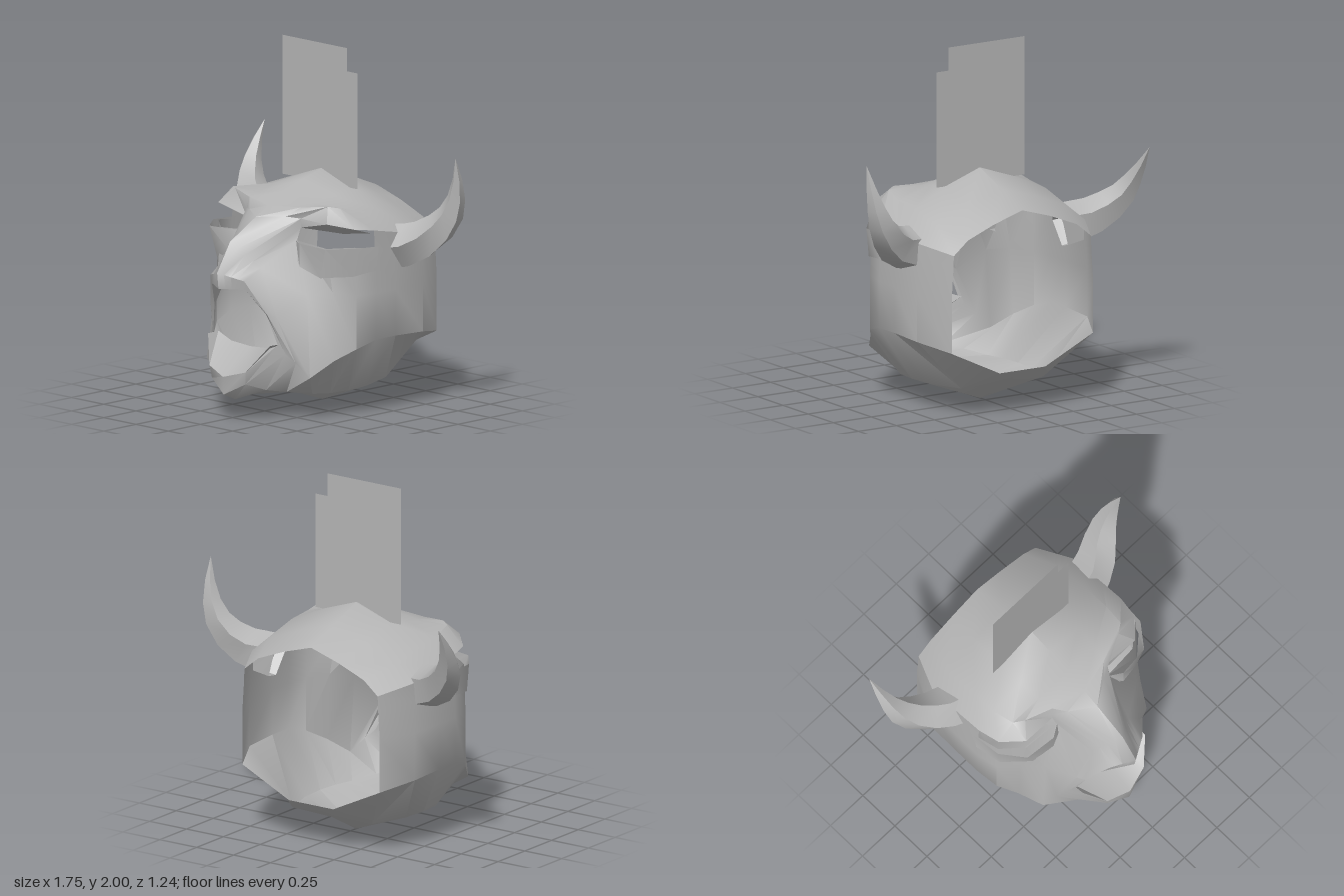
import * as THREE from 'three';
import { toCreasedNormals } from 'three/addons/utils/BufferGeometryUtils.js';

const grey = new THREE.MeshStandardMaterial({ color: 0xb4b4b4, side: THREE.DoubleSide });
grey.name = 'plainGrey';

// Skins a list of cross-sections; skip(row, column) leaves a hole
function loft(sections, closed, skip = () => false, crease = 0.75) {
  const n = sections[0].length, index = [];
  for (let r = 0; r < sections.length - 1; r++) {
    for (let k = 0; k < (closed ? n : n - 1); k++) {
      if (skip(r, k)) continue;
      const a = r * n + k, b = r * n + (k + 1) % n, c = a + n, d = b + n;
      index.push(a, c, b, b, c, d);
    }
  }
  const g = new THREE.BufferGeometry();
  g.setAttribute('position', new THREE.Float32BufferAttribute(sections.flat(2), 3));
  g.setIndex(index);
  return toCreasedNormals(g, crease);
}

function part(name, geometry) {
  const m = new THREE.Mesh(geometry, grey);
  m.name = name;
  return m;
}

const flip = ([x, y, z]) => [-x, y, z];
const mix = (a, b, t) => a.map((v, i) => v + (b[i] - v) * t);

// Half ring of the skull, from crown to chin
function skullRing(z, width, crown, eye, brow, jaw, chinWidth, chinSide, chin) {
  const arc = (t) => crown + (eye - crown) * t;
  return [
    [0, crown], [width * 0.4, arc(0.28)], [width * 0.77, arc(0.62) + brow],
    [width * 0.97, eye], [width * 0.98, eye - 0.1], [width, 0.7],
    [width, jaw], [chinWidth, chinSide], [0, chin],
  ].map(([x, y]) => [x, y, z]);
}

// Half ring of the muzzle; the bridge is straight from nose ridge to side
function muzzleRing(ridge, side, ...lower) {
  return [...[0, 0.25, 0.5, 0.75].map((t) => mix(ridge, side, t)), side, ...lower];
}

// Skull from the open back to the eyes
const skullRings = [
  skullRing(-.62, .465, 1.14, .94, 0, .39, .15, .24, .24),
  skullRing(-.42, .56, 1.22, .98, 0, .43, .27, .13, .12),
  skullRing(-.2, .565, 1.3, 1.02, 0, .44, .34, .125, 0),
  skullRing(-.05, .565, 1.26, 1.05, .01, .44, .35, .125, .05),
  skullRing(.08, .54, 1.21, 1.07, .05, .4, .34, .125, .1),
];

// Brow and cheek around the front of the eyes
const browRings = [
  [[0, 1.15, .22], [.2, 1.16, .17], [.36, 1.18, .12], [.42, 1.1, .19], [.41, .96, .18],
    [.44, .72, .165], [.47, .34, .18], [.3, .13, .18], [0, .12, .18]],
  [[0, 1.1, .32], [.14, 1.11, .23], [.21, 1.1, .18], [.21, 1.05, .18], [.2, .98, .2],
    [.35, .7, .27], [.4, .25, .3], [.23, .15, .31], [0, .11, .35]],
];

// Muzzle: bridge, nose tip and rim of the mouth
const muzzleRings = [
  muzzleRing([0, .99, .52], [.14, .85, .42], [.24, .58, .4], [.33, .33, .34], [.18, .17, .42], [0, .1, .48]),
  muzzleRing([0, .83, .62], [.13, .79, .54], [.22, .6, .45], [.28, .38, .37], [.13, .21, .53], [0, .14, .57]),
  muzzleRing([0, .74, .61], [.13, .74, .53], [.2, .6, .44], [.25, .43, .4], [.14, .28, .54], [0, .24, .575]),
];

// Floor of the mouth, from the lip back
const floorHalves = [
  [[0, .24, .575], [.14, .28, .54], [.24, .43, .45]],
  [[0, .38, .36], [.15, .39, .36], [.25, .43, .36]],
];

// Pouch below the eye
const pouchRows = [
  [[.19, .98, .2], [.27, .98, .25], [.45, .97, .23], [.55, .97, .1], [.565, .96, -.07]],
  [[.21, .91, .23], [.27, .85, .25], [.4, .8, .22], [.535, .81, .1], [.57, .83, -.05]],
];

// Lining that runs back from the upper edge of the eye opening
const liningRows = [
  [[.21, 1.05, .18], [.42, 1.1, .19], [.525, 1.07, .08]],
  [[.2, 1.03, .05], [.36, 1.01, 0], [.52, 1.03, -.05]],
];

// Curved horn: tapering five-sided sections along a path
function hornGeometry(points, baseRadius) {
  const curve = new THREE.CatmullRomCurve3(points.map((p) => new THREE.Vector3(...p)));
  const sections = [], steps = 7, sides = 5;
  for (let i = 0; i <= steps; i++) {
    const t = i / steps, p = curve.getPoint(t), dir = curve.getTangent(t);
    const u = new THREE.Vector3(0, 0, 1).addScaledVector(dir, -dir.z).normalize();
    const v = dir.clone().cross(u);
    const radius = baseRadius * (1 - t ** 1.5) + 0.001;
    sections.push(Array.from({ length: sides }, (_, k) => {
      const a = (k / sides) * Math.PI * 2;
      return p.clone().addScaledVector(u, radius * Math.cos(a))
        .addScaledVector(v, radius * Math.sin(a)).toArray();
    }));
  }
  return loft(sections, true, undefined, 0.5);
}

export function createModel() {
  const model = new THREE.Group();
  model.name = 'hornedMask';

  // Hollow head with eye openings
  const rings = [...skullRings, ...browRings, ...muzzleRings]
    .map((h) => [...h, ...h.slice(1, -1).reverse().map(flip)]);
  const eye = (r, k) => r >= 3 && r <= 5 && (k === 3 || k === 12);
  model.add(part('head', loft(rings, true, eye)));

  const floor = floorHalves.map((h) => [...h.slice(1).reverse().map(flip), ...h]);
  model.add(part('mouthFloor', loft(floor, false)));

  // Mirrored strips around each eye
  for (const [name, rows] of [['EyePouch', pouchRows], ['EyeLining', liningRows]]) {
    model.add(part('left' + name, loft(rows.map((r) => [...r].reverse()), false)));
    model.add(part('right' + name, loft(rows.map((r) => r.map(flip)), false)));
  }

  // The two horns bend differently
  model.add(part('leftHorn', hornGeometry(
    [[.47, .92, -.28], [.63, .96, -.33], [.76, 1.08, -.4], [.83, 1.24, -.41], [.86, 1.45, -.37]], .13)));
  model.add(part('rightHorn', hornGeometry(
    [[-.47, .92, -.28], [-.63, .96, -.33], [-.77, 1.07, -.41], [-.83, 1.21, -.49], [-.85, 1.38, -.6]], .13)));

  // Flat notched panel above the crown
  const outline = [[-.3, 1.22], [.28, 1.22], [.28, 1.87], [.2, 1.87], [.2, 2], [-.3, 2]];
  const panel = part('crestPanel', new THREE.ShapeGeometry(
    new THREE.Shape(outline.map((p) => new THREE.Vector2(...p)))));
  panel.position.z = -.19;
  model.add(panel);
  return model;
}
